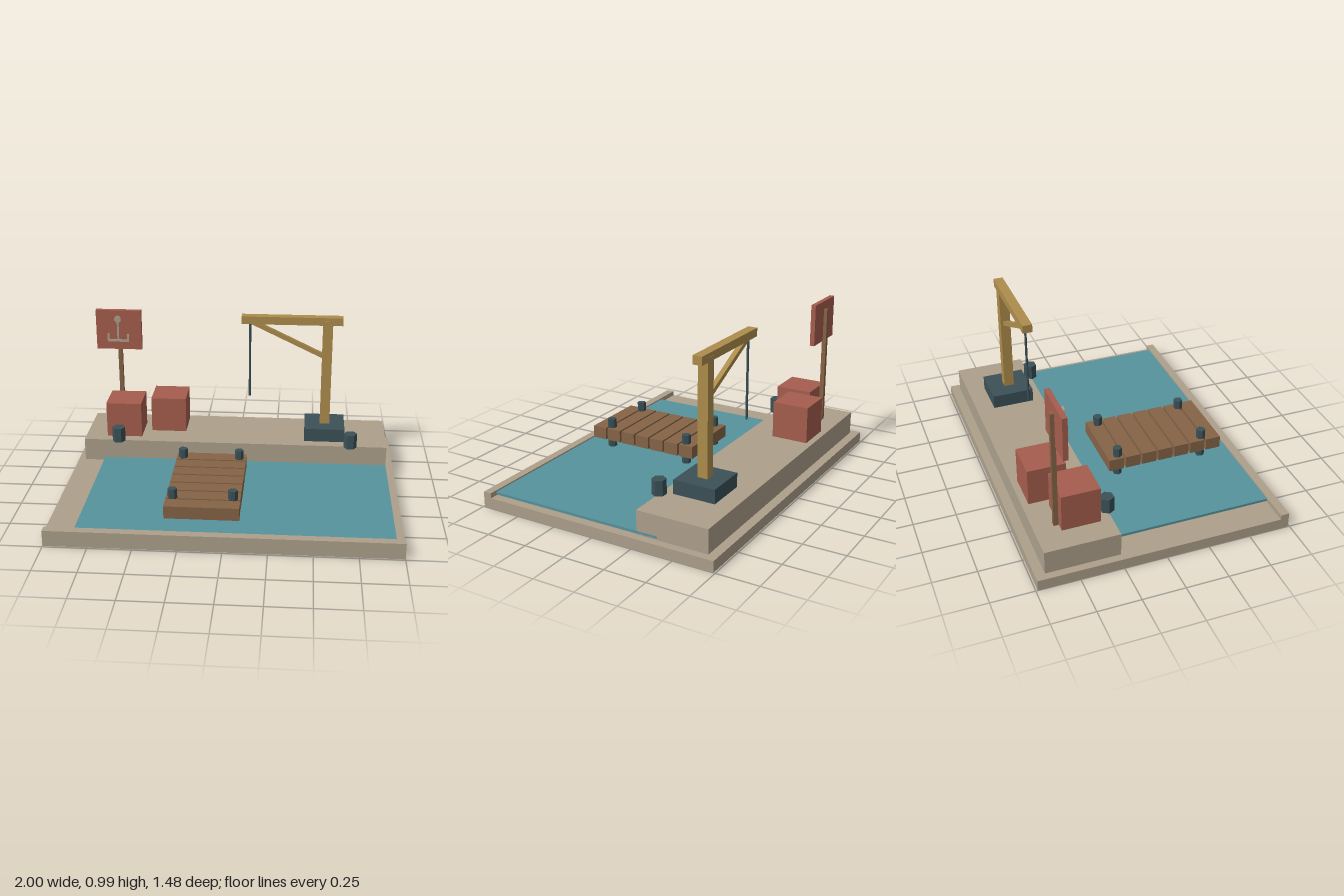
import * as THREE from 'three';

function material(name, color) {
  const m = new THREE.MeshStandardMaterial({ color });
  m.name = name;
  return m;
}

export function createModel() {
  const stone = material('stone', 0xada08c);
  const water = material('water', 0x57939e);
  const red = material('red paint', 0xa65e4e);
  const wood = material('brown wood', 0x856446);
  const timber = material('yellow timber', 0xae8d4c);
  const iron = material('dark iron', 0x3b5157);

  const model = new THREE.Group();
  model.name = 'harbourQuay';

  const add = (name, geometry, mat, parent = model) => {
    const mesh = new THREE.Mesh(geometry, mat);
    mesh.name = name;
    parent.add(mesh);
    return mesh;
  };
  // Box given by its extents along each axis
  const box = (name, mat, [x0, x1], [y0, y1], [z0, z1], parent) => {
    const mesh = add(name, new THREE.BoxGeometry(x1 - x0, y1 - y0, z1 - z0), mat, parent);
    mesh.position.set((x0 + x1) / 2, (y0 + y1) / 2, (z0 + z1) / 2);
    return mesh;
  };
  // Upright hexagonal post with corners pointing along x
  const hexPost = (name, x, z, r, y0, y1, parent) => {
    const geometry = new THREE.CylinderGeometry(r, r, y1 - y0, 6).toNonIndexed();
    geometry.rotateY(Math.PI / 6);
    geometry.computeVertexNormals();
    const mesh = add(name, geometry, iron, parent);
    mesh.position.set(x, (y0 + y1) / 2, z);
    return mesh;
  };
  const group = (name) => {
    const g = new THREE.Group();
    g.name = name;
    model.add(g);
    return g;
  };

  // Ground slab, front kerb, water and raised quay
  box('baseSlab', stone, [-1, 1], [0, 0.065], [-0.74, 0.74]);
  box('frontKerb', stone, [-1, 1], [0.065, 0.095], [0.69, 0.74]);
  box('waterSurface', water, [-0.83, 0.953], [0.07, 0.086], [-0.38, 0.69]);
  box('quay', stone, [-0.957, 0.953], [0.065, 0.207], [-0.685, -0.255]);

  // Mooring bollards on the quay edge
  for (const x of [-0.735, 0.725]) hexPost('bollard', x, -0.255, 0.041, 0.205, 0.297);

  // Plank jetty on four piles
  const jetty = group('jetty');
  for (let i = 0; i < 7; i++) {
    const z = -0.045 + i * 0.1035;
    box('plank', wood, [-0.336, 0.087], [0.135, 0.21], [z - 0.0455, z + 0.0455], jetty);
  }
  for (const x of [-0.297, 0.045]) {
    for (const z of [-0.027, 0.509]) hexPost('pile', x, z, 0.027, 0.065, 0.267, jetty);
  }

  // Cargo crates
  box('crate', red, [-0.82, -0.598], [0.207, 0.43], [-0.543, -0.32]);
  box('crate', red, [-0.547, -0.325], [0.207, 0.43], [-0.647, -0.423]);

  // Loading crane
  const crane = group('crane');
  const craneZ = [-0.476, -0.419];
  box('craneFoot', iron, [0.438, 0.69], [0.205, 0.291], [-0.576, -0.322], crane);
  box('cranePost', timber, [0.535, 0.596], [0.291, 0.97], [-0.478, -0.417], crane);
  box('craneBeam', timber, [0.032, 0.657], [0.943, 0.992], craneZ, crane);
  const a = new THREE.Vector2(0.09, 0.955), b = new THREE.Vector2(0.55, 0.735);
  const brace = add('craneBrace', new THREE.BoxGeometry(a.distanceTo(b), 0.027, 0.03), timber, crane);
  brace.position.set((a.x + b.x) / 2, (a.y + b.y) / 2, -0.447);
  brace.rotation.z = Math.atan2(b.y - a.y, b.x - a.x);
  hexPost('craneCable', 0.084, -0.447, 0.007, 0.46, 0.945, crane);

  // Sign board on a pole
  const sign = group('sign');
  box('signPole', wood, [-0.77, -0.744], [0.205, 0.93], [-0.572, -0.545], sign);
  box('signBoard', red, [-0.9, -0.612], [0.726, 0.982], [-0.55, -0.521], sign);

  // Anchor emblem standing off the board
  const cx = -0.757;
  const emblemZ = [-0.504, -0.495];
  const eye = add('anchorEye', new THREE.CylinderGeometry(0.022, 0.022, 0.009, 10), stone, sign);
  eye.rotation.x = Math.PI / 2;
  eye.position.set(cx, 0.931, -0.4995);
  box('anchorShank', stone, [cx - 0.006, cx + 0.006], [0.785, 0.925], emblemZ, sign);
  box('anchorArms', stone, [cx - 0.068, cx + 0.068], [0.783, 0.797], emblemZ, sign);
  for (const s of [-1, 1]) {
    const x = cx + s * 0.062;
    box('anchorFluke', stone, [x - 0.007, x + 0.007], [0.797, 0.832], emblemZ, sign);
  }

  return model;
}
